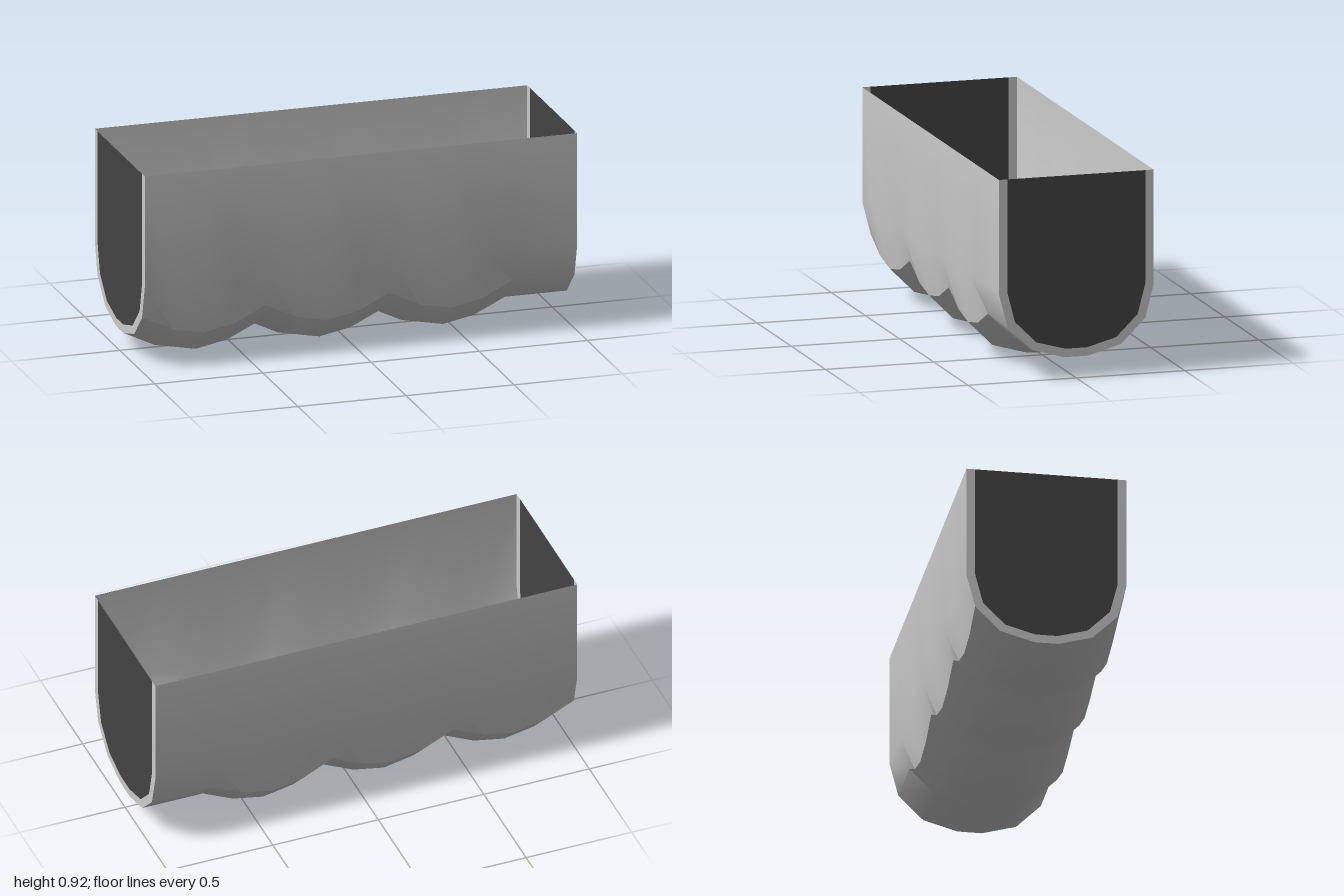
import * as THREE from 'three';
import { toCreasedNormals } from 'three/addons/utils/BufferGeometryUtils.js';

const DROP = 0.097; // depth of each scallop
const PITCH = 4 / 7; // length of each scallop
const STEPS = 4;
const TOP = 0.915;

// Half profiles as [z, y], from the top edge down to the bottom
const outerHalf = [[0.357, TOP], [0.357, 0.4], [0.318, 0.25], [0.207, 0.14], [0.055, DROP]];
const innerHalf = [[0.318, TOP], [0.318, 0.405], [0.283, 0.27], [0.184, 0.172], [0.05, 0.135]];

const mirrored = (half) => [...half, ...half.map(([z, y]) => [-z, y]).reverse()];

// Open trough skin: cross-sections along x, lower points sunk by the scallops
function troughGeometry() {
  const profile = mirrored(outerHalf);
  const sections = [];
  for (let i = 0; i <= 3 * STEPS; i++) {
    sections.push([-1 + (i * PITCH) / STEPS, DROP * Math.abs(Math.sin((Math.PI * i) / STEPS))]);
  }
  sections.push([1, 0]); // plain stretch at the end
  const positions = [];
  const index = [];
  const n = profile.length;
  sections.forEach(([x, drop], i) => {
    profile.forEach(([z, y], j) => {
      positions.push(x, y < 0.39 ? y - drop : y, z);
      if (i === 0 || j === 0) return;
      const c = i * n + j;
      const b = c - n;
      index.push(b - 1, b, c, b - 1, c, c - 1);
    });
  });
  const geometry = new THREE.BufferGeometry();
  geometry.setAttribute('position', new THREE.Float32BufferAttribute(positions, 3));
  geometry.setIndex(index);
  return toCreasedNormals(geometry, THREE.MathUtils.degToRad(32));
}

// Flat end piece, drawn in the z-y plane and turned to face +x
function endGeometry(points) {
  const shape = new THREE.Shape(points.map(([z, y]) => new THREE.Vector2(-z, y)));
  return new THREE.ShapeGeometry(shape).rotateY(Math.PI / 2);
}

export function createModel() {
  const group = new THREE.Group();
  const grey = new THREE.MeshStandardMaterial({ color: 0xcccccc, side: THREE.DoubleSide });
  const dark = new THREE.MeshStandardMaterial({ color: 0x444444, side: THREE.DoubleSide });

  const add = (name, geometry, material, parent = group) => {
    const mesh = new THREE.Mesh(geometry, material);
    mesh.name = name;
    parent.add(mesh);
  };

  add('scallopedTrough', troughGeometry(), grey);

  // Each end: a U-shaped rim around a dark panel
  const rim = endGeometry([...mirrored(outerHalf), ...mirrored(innerHalf).reverse()]);
  const panel = endGeometry(mirrored(innerHalf));
  for (const side of [1, -1]) {
    const end = new THREE.Group();
    end.name = side > 0 ? 'leftEnd' : 'rightEnd';
    add('endRim', rim, grey, end);
    add('endPanel', panel, dark, end);
    end.position.x = side;
    if (side < 0) end.rotation.y = Math.PI;
    group.add(end);
  }
  return group;
}
